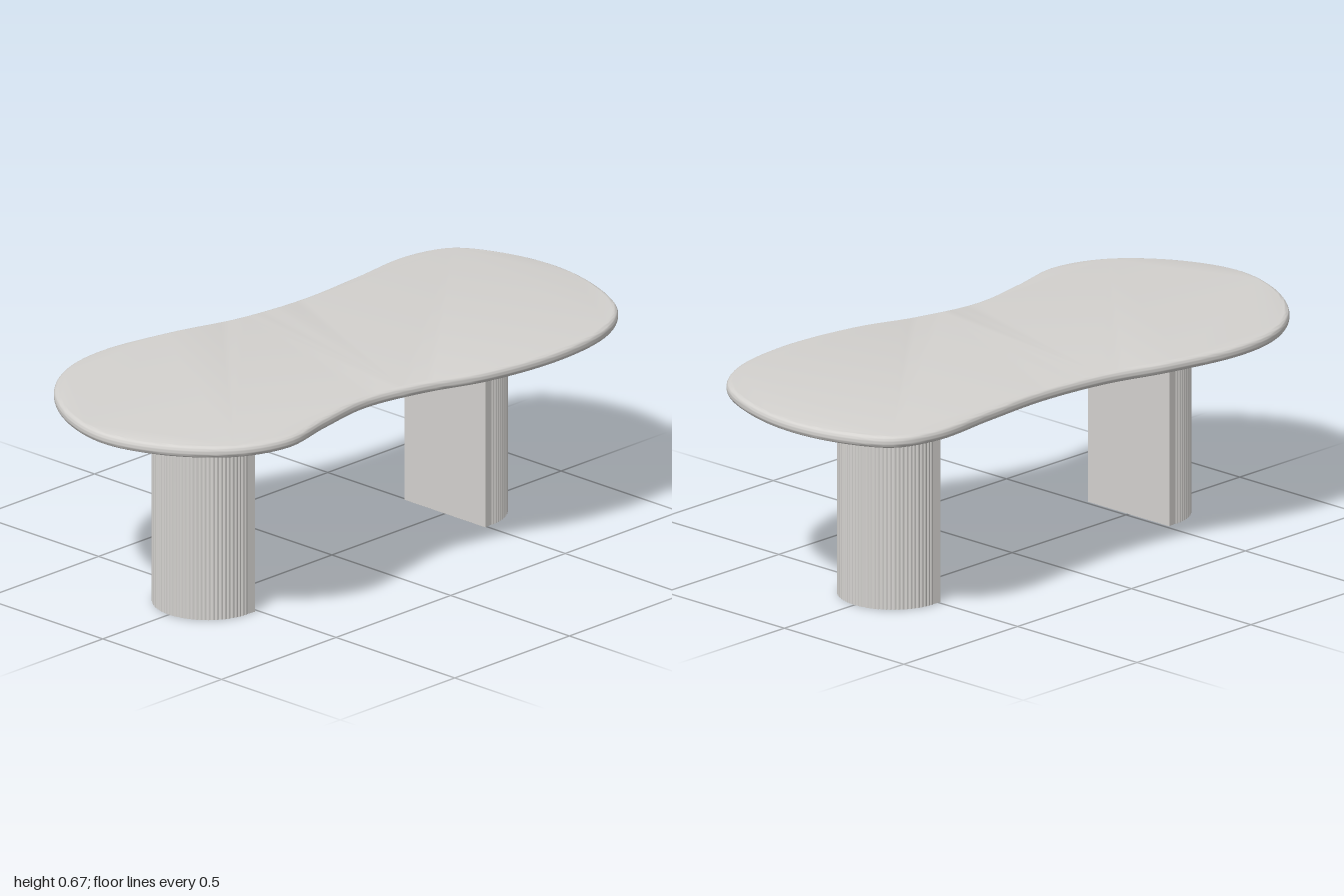
import * as THREE from 'three';
import { toCreasedNormals } from 'three/addons/utils/BufferGeometryUtils.js';

const stone = new THREE.MeshStandardMaterial({ color: 0xd4d2cf });
stone.name = 'pale stone';

const TOP = 0.665, UNDERSIDE = 0.627;

// Extrudes a plan drawn in x/z so that its upper face lies at y = top
function slab(shape, top, options) {
  const g = new THREE.ExtrudeGeometry(shape, options);
  g.rotateX(Math.PI / 2);
  g.computeBoundingBox();
  g.translate(0, top - g.boundingBox.max.y, 0);
  return g;
}

// Free-form tabletop with a rounded rim
function makeTop() {
  const outline = [
    [-1, 0], [-0.95, -0.2], [-0.82, -0.38], [-0.66, -0.48], [-0.48, -0.508],
    [-0.22, -0.465], [0, -0.402], [0.25, -0.375], [0.5, -0.388], [0.74, -0.405],
    [0.89, -0.355], [0.97, -0.21], [1, -0.02], [0.965, 0.18], [0.87, 0.365],
    [0.72, 0.465], [0.48, 0.503], [0.2, 0.47], [0, 0.402], [-0.22, 0.362],
    [-0.43, 0.392], [-0.63, 0.43], [-0.8, 0.37], [-0.94, 0.205],
  ].map(([x, z]) => new THREE.Vector3(x, z, 0));
  const curve = new THREE.CatmullRomCurve3(outline, true);
  const points = curve.getSpacedPoints(180).slice(0, -1);
  const shape = new THREE.Shape(points.map((p) => new THREE.Vector2(p.x, p.y)));
  const round = 0.016;
  const g = slab(shape, TOP, {
    depth: TOP - UNDERSIDE - 2 * round, steps: 1,
    bevelThickness: round, bevelSize: round, bevelOffset: -round, bevelSegments: 6,
  });
  return toCreasedNormals(g, 0.6);
}

// D-shaped leg: flat inner face at x = 0, fluted round face towards +x
function makeLeg() {
  const radius = 0.17, straight = 0.03, flutes = 42, perFlute = 6, relief = 0.003;
  const points = [new THREE.Vector2(0, -radius)];
  const n = flutes * perFlute;
  for (let i = 0; i <= n; i++) {
    const a = -Math.PI / 2 + (Math.PI * i) / n;
    const r = radius - relief * (1 - Math.abs(Math.sin((Math.PI * i) / perFlute)));
    points.push(new THREE.Vector2(straight + r * Math.cos(a), r * Math.sin(a)));
  }
  points.push(new THREE.Vector2(0, radius));
  const g = slab(new THREE.Shape(points), UNDERSIDE + 0.003, {
    depth: UNDERSIDE + 0.003, bevelEnabled: false,
  });
  return toCreasedNormals(g, 0.5);
}

export function createModel() {
  const table = new THREE.Group();
  table.name = 'table';

  const top = new THREE.Mesh(makeTop(), stone);
  top.name = 'tabletop';
  table.add(top);

  const legGeometry = makeLeg();
  for (const [name, x, turn] of [['leftLeg', 0.493, 0], ['rightLeg', -0.512, Math.PI]]) {
    const leg = new THREE.Mesh(legGeometry, stone);
    leg.name = name;
    leg.position.x = x;
    leg.rotation.y = turn;
    table.add(leg);
  }
  return table;
}
